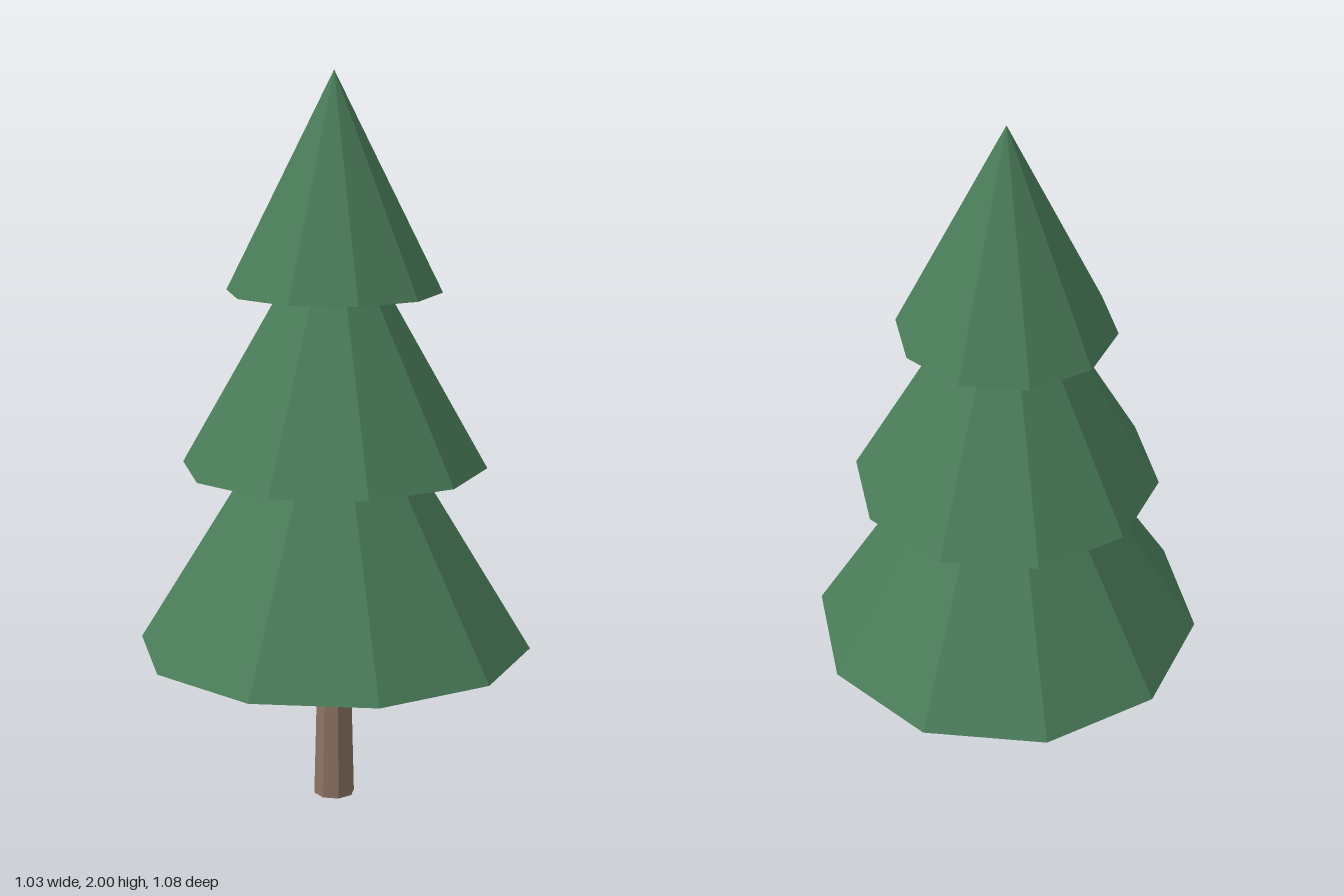
import * as THREE from 'three';

export function createModel() {
  const tree = new THREE.Group();
  tree.name = 'pineTree';

  const foliageMat = new THREE.MeshStandardMaterial({ color: 0x4a7c59, flatShading: true });
  const barkMat = new THREE.MeshStandardMaterial({ color: 0x8b7361, flatShading: true });

  // Tapered trunk, its top hidden inside the lowest tier
  const trunkHeight = 0.5;
  const trunk = new THREE.Mesh(new THREE.CylinderGeometry(0.044, 0.057, trunkHeight, 8), barkMat);
  trunk.name = 'trunk';
  trunk.position.y = trunkHeight / 2;
  tree.add(trunk);

  // Three overlapping ten-sided cones, a corner pointing forwards
  const tiers = [
    { name: 'lowerFoliage', radius: 0.54, base: 0.44, height: 0.88 },
    { name: 'middleFoliage', radius: 0.415, base: 0.945, height: 0.73 },
    { name: 'upperFoliage', radius: 0.29, base: 1.42, height: 0.58 },
  ];
  for (const { name, radius, base, height } of tiers) {
    const tier = new THREE.Mesh(new THREE.ConeGeometry(radius, height, 10), foliageMat);
    tier.name = name;
    tier.position.y = base + height / 2;
    tree.add(tier);
  }

  return tree;
}
